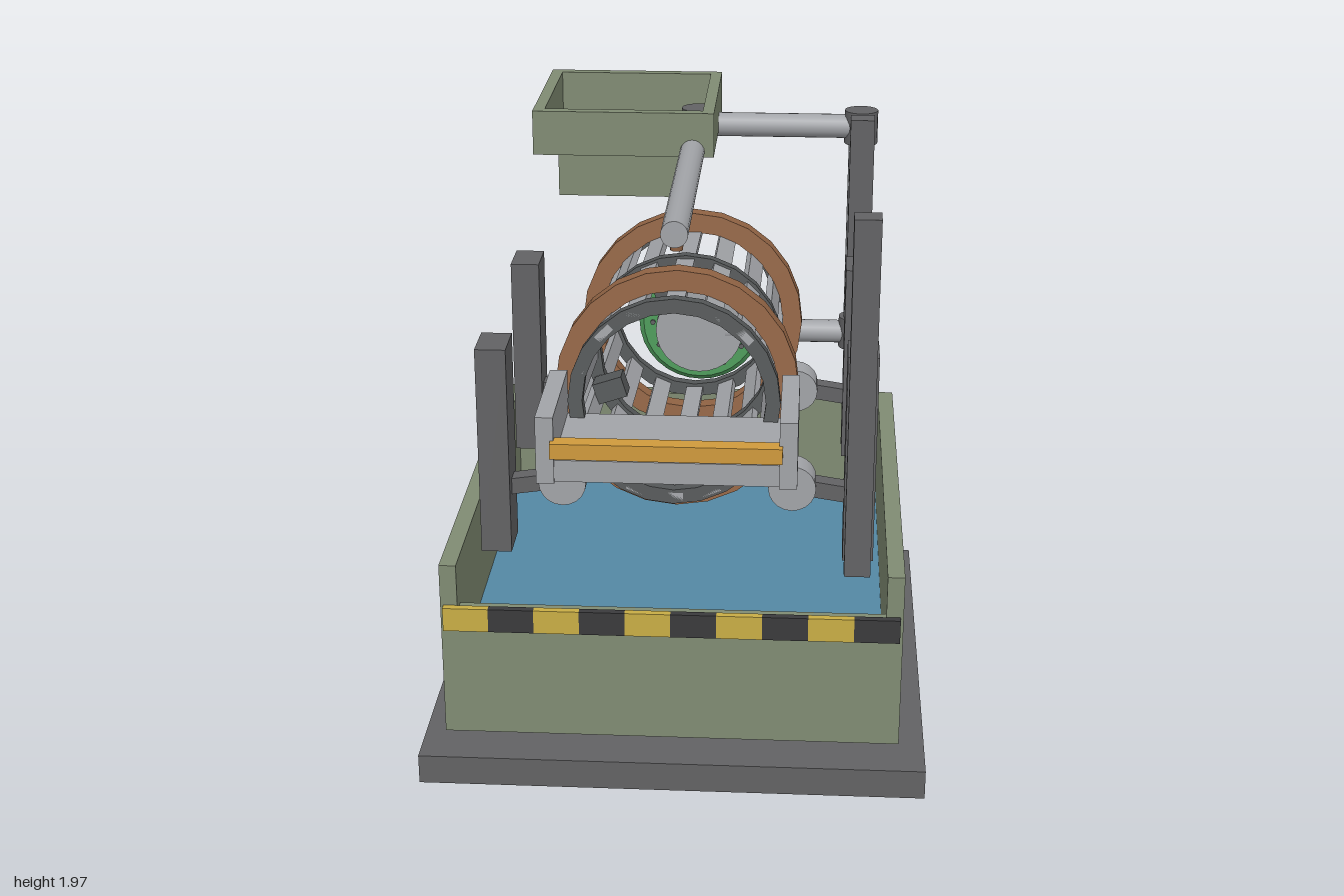
import * as THREE from 'three';
import { toCreasedNormals } from 'three/addons/utils/BufferGeometryUtils.js';

const mat = (name, color) => {
  const m = new THREE.MeshStandardMaterial({ color });
  m.name = name;
  return m;
};

export function createModel() {
  const frame = mat('frame grey', 0x626264);
  const dark = mat('drum ring grey', 0x555859);
  const steel = mat('light steel', 0xa2a4a8);
  const green = mat('sage green', 0x808b73);
  const water = mat('water blue', 0x5488a4);
  const brown = mat('copper brown', 0x936545);
  const pumpGreen = mat('pump green', 0x4f9d5c);
  const orange = mat('orange', 0xd09a3c);
  const yellow = mat('hazard yellow', 0xc8ad45);
  const black = mat('hazard black', 0x3a3a3c);

  const model = new THREE.Group();
  model.name = 'washingDrumMachine';

  const add = (parent, name, geo, material, x = 0, y = 0, z = 0) => {
    const m = new THREE.Mesh(geo, material);
    m.name = name;
    m.position.set(x, y, z);
    parent.add(m);
    return m;
  };
  const group = (name, parent = model) => {
    const g = new THREE.Group();
    g.name = name;
    parent.add(g);
    return g;
  };
  // Box given by its minimum and maximum corners
  const box = (parent, name, material, [x0, y0, z0], [x1, y1, z1]) =>
    add(parent, name, new THREE.BoxGeometry(x1 - x0, y1 - y0, z1 - z0), material,
      (x0 + x1) / 2, (y0 + y1) / 2, (z0 + z1) / 2);
  // Round bar between two points
  const pipe = (parent, name, material, a, b, r, sides = 20) => {
    const p = new THREE.Vector3(...a), q = new THREE.Vector3(...b);
    const dir = q.clone().sub(p);
    const m = add(parent, name, new THREE.CylinderGeometry(r, r, dir.length(), sides), material);
    m.position.copy(p).add(q).multiplyScalar(0.5);
    m.quaternion.setFromUnitVectors(new THREE.Vector3(0, 1, 0), dir.normalize());
    return m;
  };
  // Flat ring around the z axis
  const ringGeo = (ro, ri, w, sides = 24) => {
    const h = w / 2;
    const pts = [[ri, -h], [ro, -h], [ro, h], [ri, h], [ri, -h]].map(p => new THREE.Vector2(...p));
    return toCreasedNormals(new THREE.LatheGeometry(pts, sides).rotateX(Math.PI / 2), 0.5);
  };
  // Four walls open at top and bottom
  const openFrame = (parent, name, material, [x0, y0, z0], [x1, y1, z1], t) => {
    const g = group(name, parent);
    box(g, 'leftWall', material, [x1 - t, y0, z0], [x1, y1, z1]);
    box(g, 'rightWall', material, [x0, y0, z0], [x0 + t, y1, z1]);
    box(g, 'frontWall', material, [x0 + t, y0, z1 - t], [x1 - t, y1, z1]);
    box(g, 'backWall', material, [x0 + t, y0, z0], [x1 - t, y1, z0 + t]);
  };

  // Base and tank
  box(model, 'baseSlab', frame, [-0.83, 0, -0.83], [0.83, 0.1, 0.83]);
  const tank = group('tank');
  for (const s of [-1, 1])
    add(tank, 'sideWall', new THREE.BoxGeometry(0.055, 0.6, 1.59), green, s * 0.7125, 0.48, 0);
  box(tank, 'backWall', green, [-0.685, 0.18, -0.795], [0.685, 0.78, -0.735]);
  box(tank, 'frontWall', green, [-0.685, 0.18, 0.735], [0.685, 0.62, 0.795]);
  box(tank, 'floor', green, [-0.685, 0.18, -0.735], [0.685, 0.22, 0.735]);
  box(tank, 'water', water, [-0.685, 0.22, -0.735], [0.685, 0.42, 0.735]);
  const stripe = group('hazardStripe');
  for (let i = 0; i < 10; i++)
    box(stripe, 'stripeBlock', i % 2 ? black : yellow,
      [-0.73 + i * 0.146, 0.56, 0.795], [-0.584 + i * 0.146, 0.64, 0.82]);

  // Posts, brackets and support rollers
  const supports = group('supports');
  for (const z of [-0.435, 0.435]) {
    for (const s of [-1, 1]) {
      add(supports, 'rollerPost', new THREE.BoxGeometry(0.1, 0.71, 0.16), frame, s * 0.595, 1.055, z);
      const arm = add(supports, 'rollerArm', new THREE.BoxGeometry(0.18, 0.055, 0.06), frame, s * 0.47, 0.925, z);
      arm.rotation.z = -s * 0.15;
      pipe(supports, 'roller', steel, [s * 0.376, 0.938, z - 0.05], [s * 0.376, 0.938, z + 0.05], 0.078);
    }
  }
  for (const z of [-0.595, 0.595])
    add(supports, 'tallPole', new THREE.BoxGeometry(0.085, 1.2, 0.08), frame, 0.592, 1.3, z);

  // Tilted drum: rings, tyres, slats and inner lifters
  const drum = group('drum');
  drum.position.y = 1.232;
  drum.rotation.x = -0.087;
  for (const z of [-0.6, 0, 0.6]) add(drum, 'drumRing', ringGeo(0.336, 0.29, 0.05), dark, 0, 0, z);
  for (const z of [-0.435, 0.435]) add(drum, 'tyre', ringGeo(0.392, 0.325, 0.08), brown, 0, 0, z);
  for (let i = 0; i < 16; i++) {
    const a = (i * Math.PI) / 8;
    const slat = add(drum, 'slat', new THREE.BoxGeometry(0.025, 0.06, 1.25), steel,
      0.312 * Math.cos(a), 0.312 * Math.sin(a), 0);
    slat.rotation.z = a;
  }
  for (let i = 0; i < 4; i++) {
    const a = (18 + 90 * i) * Math.PI / 180;
    const lifter = add(drum, 'lifter', new THREE.BoxGeometry(0.1, 0.07, 0.1), dark,
      0.25 * Math.cos(a), 0.25 * Math.sin(a), -0.2 + 0.2 * i);
    lifter.rotation.z = a;
  }

  // Outlet chute at the front
  const chute = group('chute');
  box(chute, 'chuteFloor', steel, [-0.34, 1.16, 0.59], [0.34, 1.23, 0.97]);
  for (const s of [-1, 1])
    add(chute, 'chuteSide', new THREE.BoxGeometry(0.055, 0.215, 0.4), steel, s * 0.3675, 1.2625, 0.775);
  box(chute, 'chuteLip', orange, [-0.35, 1.245, 0.945], [0.35, 1.295, 1.0]);

  // Feed hopper
  const hopper = group('hopper');
  openFrame(hopper, 'upperHopper', green, [-0.555, 1.81, -0.99], [0.075, 1.965, -0.365], 0.04);
  openFrame(hopper, 'lowerHopper', green, [-0.475, 1.645, -0.905], [0, 1.81, -0.435], 0.04);

  // Water pipework with elbows and spray nozzles
  const pipes = group('pipework');
  const r = 0.043;
  pipe(pipes, 'sprayPipe', steel, [0, 1.828, -0.755], [0, 1.828, 0.59], r);
  pipe(pipes, 'crossPipe', steel, [0, 1.828, -0.755], [0.59, 1.828, -0.755], r);
  pipe(pipes, 'downPipe', steel, [0.59, 1.828, -0.755], [0.59, 1, -0.87], r);
  pipe(pipes, 'supplyPipe', steel, [0.59, 0.995, -0.875], [0.1, 0.995, -0.875], r);
  for (const [x, y, z] of [[0, 1.828, -0.755], [0.59, 1.828, -0.755], [0.59, 1, -0.87]])
    add(pipes, 'elbow', new THREE.CylinderGeometry(0.06, 0.06, 0.12, 20), frame, x, y, z);
  for (let i = 0; i < 6; i++)
    add(pipes, 'nozzle', new THREE.CylinderGeometry(0.026, 0.02, 0.05, 12), brown, 0, 1.77, 0.48 - i * 0.2);

  // Pump at the back
  const pump = group('pump');
  pump.position.set(0, 0.998, 0);
  pipe(pump, 'pumpMotor', steel, [0, 0, -0.94], [0, 0, -0.835], 0.165, 28);
  const rim = [[0.19, -0.034], [0.218, -0.034], [0.236, -0.018], [0.236, 0.018], [0.218, 0.034],
    [0.16, 0.034], [0.16, -0.02], [0.19, -0.034]].map(p => new THREE.Vector2(...p));
  add(pump, 'pumpRim', toCreasedNormals(new THREE.LatheGeometry(rim, 32).rotateX(Math.PI / 2), 0.5),
    pumpGreen, 0, 0, -0.961);
  pipe(pump, 'pumpCover', frame, [0, 0, -0.99], [0, 0, -0.94], 0.198, 32);
  for (let i = 0; i < 12; i++) {
    const a = (i * Math.PI) / 6, x = 0.183 * Math.cos(a), y = 0.183 * Math.sin(a);
    pipe(pump, 'bolt', frame, [x, y, -0.997], [x, y, -0.92], 0.01, 8);
  }
  return model;
}
